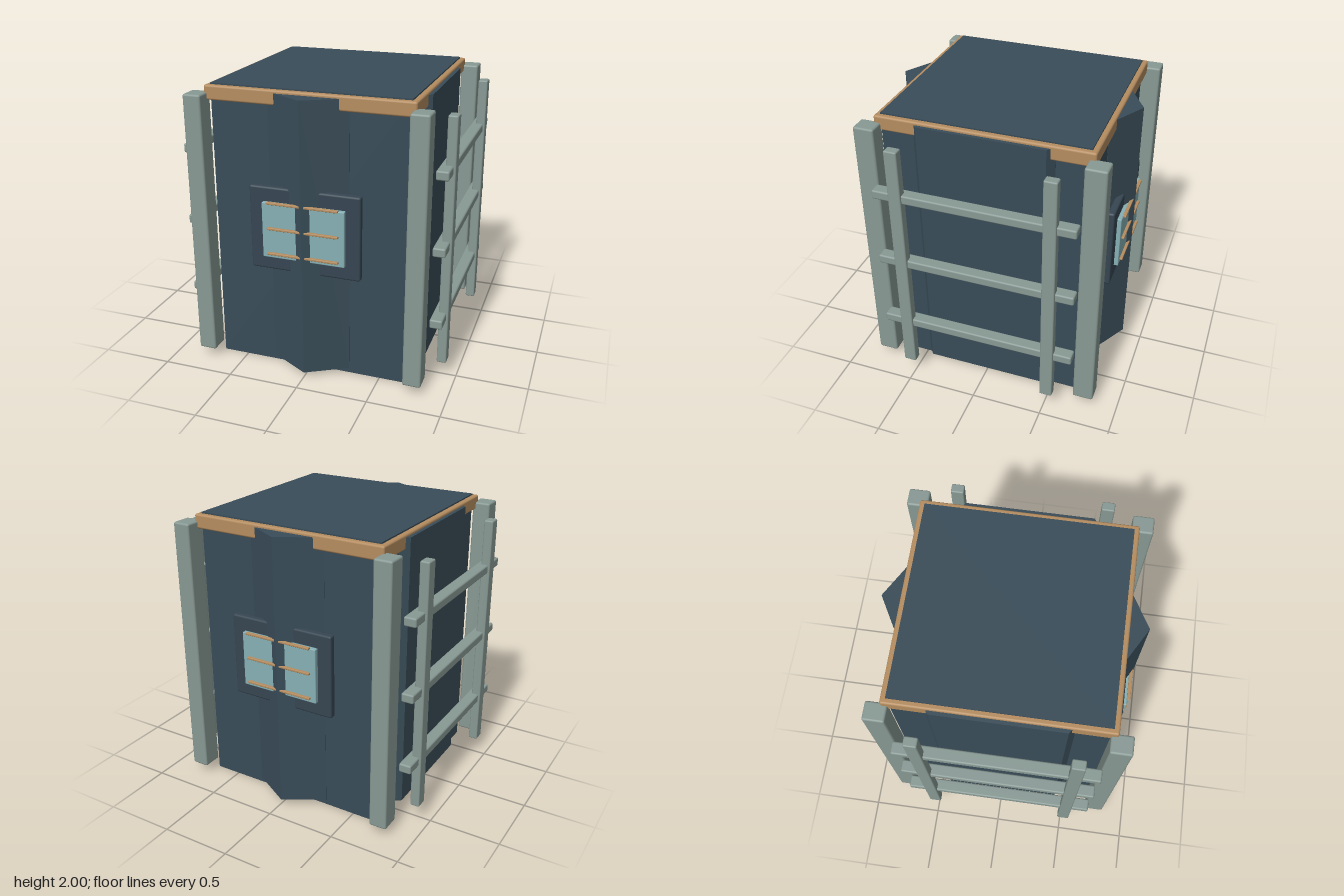
import * as THREE from 'three';
import { RoundedBoxGeometry } from 'three/addons/geometries/RoundedBoxGeometry.js';

function material(name, color) {
  const m = new THREE.MeshStandardMaterial({ color });
  m.name = name;
  return m;
}

export function createModel() {
  const model = new THREE.Group();
  model.name = 'cabin';
  const wall = material('dark slate wall', 0x394c58);
  const frame = material('dark window frame', 0x364652);
  const glass = material('pale teal glass', 0x86b0b5);
  const steel = material('grey green post', 0x889994);
  const brass = material('tan trim', 0xb58d60);

  function add(parent, name, geometry, mat) {
    const mesh = new THREE.Mesh(geometry, mat);
    mesh.name = name;
    parent.add(mesh);
    return mesh;
  }

  // Box given by its minimum and maximum corners, with optional soft edges
  function box(parent, name, mat, [x0, y0, z0], [x1, y1, z1], bevel = 0) {
    const size = [x1 - x0, y1 - y0, z1 - z0];
    const geometry = bevel
      ? new RoundedBoxGeometry(...size, 2, bevel)
      : new THREE.BoxGeometry(...size);
    const mesh = add(parent, name, geometry, mat);
    mesh.position.set((x0 + x1) / 2, (y0 + y1) / 2, (z0 + z1) / 2);
    return mesh;
  }

  // Upright prism from a floor outline of [x, z] points
  function prism(parent, name, mat, outline, y0, y1) {
    const shape = new THREE.Shape(outline.map(([x, z]) => new THREE.Vector2(x, -z)));
    const geometry = new THREE.ExtrudeGeometry(shape, { depth: y1 - y0, bevelEnabled: false });
    geometry.rotateX(-Math.PI / 2);
    geometry.translate(0, y0, 0);
    return add(parent, name, geometry, mat);
  }

  // Body and the trim band around its top
  box(model, 'body', wall, [-0.683, 0, -0.7], [0.683, 2, 0.7]);
  box(model, 'topTrim', brass, [-0.718, 1.89, -0.735], [0.718, 1.99, 0.735], 0.014);

  // Front and back: ridged door with a barred window
  for (const turn of [0, Math.PI]) {
    const door = new THREE.Group();
    door.name = turn ? 'backDoor' : 'frontDoor';
    door.rotation.y = turn;
    model.add(door);
    prism(door, 'doorRidge', wall, [[-0.28, 0.69], [0.28, 0.69], [0.28, 0.702], [0, 0.86], [-0.28, 0.702]], 0.035, 1.97);
    box(door, 'windowFrame', frame, [-0.387, 0.77, 0.75], [0.387, 1.36, 0.802], 0.014);
    box(door, 'windowGlass', glass, [-0.288, 0.87, 0.79], [0.288, 1.26, 0.832], 0.006);
    for (const y of [0.903, 1.083, 1.263]) {
      box(door, 'windowBar', brass, [-0.248, y - 0.008, 0.828], [0.248, y + 0.008, 0.852], 0.004);
    }
  }

  // Left and right: raised panel behind a ladder-like rack
  for (const turn of [0, Math.PI]) {
    const side = new THREE.Group();
    side.name = turn ? 'rightSide' : 'leftSide';
    side.rotation.y = turn;
    model.add(side);
    prism(side, 'sidePanel', wall, [[0.67, 0.475], [0.685, 0.475], [0.743, 0.432], [0.743, -0.432], [0.685, -0.475], [0.67, -0.475]], 0.035, 1.97);
    for (const y of [0.483, 1.004, 1.525]) {
      box(side, 'rackRail', steel, [0.835, y - 0.032, -0.69], [0.922, y + 0.032, 0.69], 0.012);
    }
    for (const s of [-1, 1]) {
      const z = s * 0.52;
      box(side, 'rackUpright', steel, [0.87, 0.125, z - 0.045], [0.937, 1.88, z + 0.045], 0.01);
      const p = s * 0.76;
      box(side, 'cornerPost', steel, [0.696, 0.065, p - 0.072], [0.823, 1.942, p + 0.072], 0.014);
    }
  }
  return model;
}
